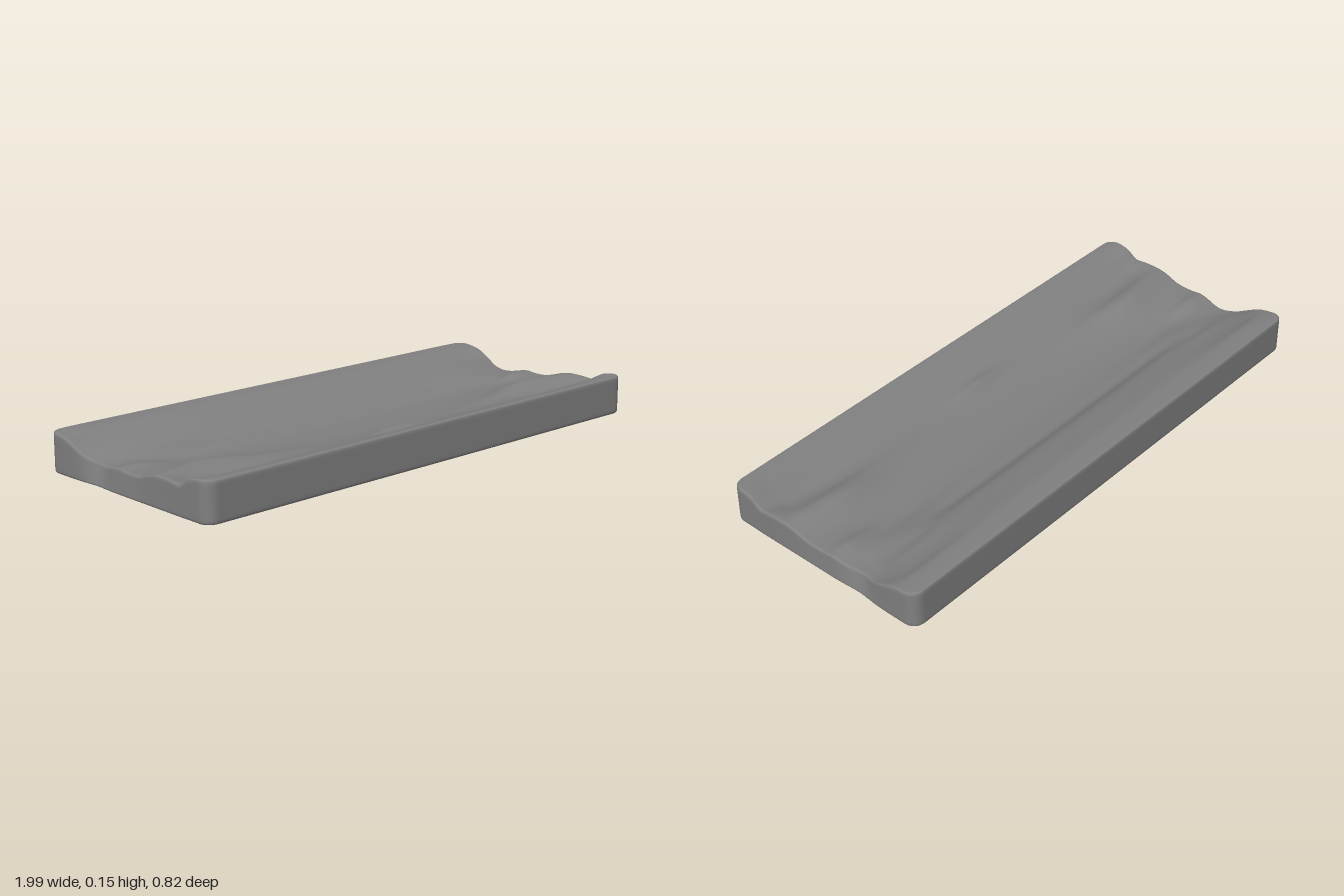
import * as THREE from 'three';
import { mergeVertices } from 'three/addons/utils/BufferGeometryUtils.js';

// Heights in thousandths across the channel (back to front), one row per distance from the middle
const zs = [-0.41, -0.34, -0.3, -0.26, -0.22, -0.19, -0.15, -0.11, -0.07, -0.04,
  0, 0.07, 0.12, 0.16, 0.2, 0.24, 0.28, 0.32, 0.36, 0.41];
const xs = [0, 0.3, 0.55, 0.75, 0.9, 1];
const heights = [
  [148, 146, 138, 127, 116, 104, 77, 71, 66, 64, 64, 67, 71, 76, 83, 93, 106, 122, 137, 148],
  [148, 146, 138, 127, 116, 104, 78, 73, 67, 65, 65, 69, 74, 80, 86, 95, 107, 122, 137, 148],
  [148, 146, 137, 125, 114, 104, 81, 76, 68, 66, 67, 76, 88, 96, 94, 96, 107, 123, 138, 148],
  [148, 146, 131, 119, 111, 99, 92, 82, 71, 71, 74, 90, 117, 114, 96, 92, 104, 124, 140, 148],
  [148, 145, 127, 113, 101, 91, 82, 82, 88, 96, 86, 90, 112, 118, 106, 98, 107, 129, 143, 148],
  [147, 141, 130, 110, 91, 84, 79, 80, 88, 92, 88, 91, 107, 115, 116, 114, 112, 138, 147, 148],
];

// Smooth interpolation through a list of values
function sample(keys, values, t) {
  const n = keys.length - 1;
  let i = 0;
  while (i < n - 1 && t > keys[i + 1]) i++;
  const slope = (j) => (j === 0 || j === n ? 0 : (values[j + 1] - values[j - 1]) / (keys[j + 1] - keys[j - 1]));
  const h = keys[i + 1] - keys[i];
  const u = THREE.MathUtils.clamp((t - keys[i]) / h, 0, 1);
  const u2 = u * u, u3 = u2 * u;
  return (2 * u3 - 3 * u2 + 1) * values[i] + (u3 - 2 * u2 + u) * h * slope(i)
    + (3 * u2 - 2 * u3) * values[i + 1] + (u3 - u2) * h * slope(i + 1);
}

function surfaceHeight(x, z) {
  const across = heights.map((row) => sample(zs, row, z));
  // Small rock ledge in the middle of the front bank
  const ledge = 0.018 * Math.exp(-((x / 0.12) ** 2) - ((z - 0.215) / 0.025) ** 2);
  return sample(xs, across, Math.abs(x)) / 1000 + ledge;
}

export function createModel() {
  const group = new THREE.Group();
  group.name = 'riverbedSlab';

  const half = new THREE.Vector3(0.995, 0.075, 0.412);
  const lip = 0.01; // rounding of the upper and lower edges
  const corner = 0.045; // rounding of the four corners seen from above
  const limit = (v, m) => THREE.MathUtils.clamp(v, -m, m);
  // Crowd the grid lines towards the edges so that the rounding is smooth
  const crowd = (u) => 0.3 * u + 0.7 * Math.sin((u * Math.PI) / 2);

  const geometry = new THREE.BoxGeometry(2, 2, 2, 140, 14, 96);
  const pos = geometry.attributes.position;
  const p = new THREE.Vector3();

  for (let i = 0; i < pos.count; i++) {
    p.set(crowd(pos.getX(i)), crowd(pos.getY(i)), crowd(pos.getZ(i))).multiply(half);
    // Rounded edges: pull the outermost strip in along a quarter circle
    const out = lip - Math.min(half.x - Math.abs(p.x), half.z - Math.abs(p.z));
    const up = lip - (half.y - Math.abs(p.y));
    if (out > 0 && up > 0) {
      const k = Math.max(out, up) / Math.hypot(out, up);
      p.x = limit(p.x, half.x - lip + out * k);
      p.z = limit(p.z, half.z - lip + out * k);
      p.y = Math.sign(p.y) * (half.y - lip + up * k);
    }

    // Rounded corners in plan
    const cx = limit(p.x, half.x - corner), cz = limit(p.z, half.z - corner);
    const dx = p.x - cx, dz = p.z - cz;
    const shrink = dx && dz ? Math.max(Math.abs(dx), Math.abs(dz)) / Math.hypot(dx, dz) : 1;
    const x = cx + dx * shrink, z = cz + dz * shrink;

    // Stretch each column between the base and the carved top
    const t = (p.y + half.y) / (2 * half.y);
    const base = 0.006 - 0.006 * Math.exp(-((x / 0.4) ** 2) - ((z / 0.25) ** 2));
    const y = base + t * (surfaceHeight(x, z) - base);

    // Ends worn inwards where the stream runs
    const worn = 0.025 * Math.exp(-(((z + 0.16) / 0.07) ** 2)) + 0.01 * Math.exp(-((z / 0.15) ** 2));
    const nearEnd = THREE.MathUtils.smoothstep(Math.abs(x), 0.85, 1);
    pos.setXYZ(i, x - Math.sign(x) * worn * nearEnd * (0.3 + 0.7 * t), y, z);
  }

  // Weld the six sides for smooth shading
  geometry.deleteAttribute('uv');
  geometry.deleteAttribute('normal');
  const welded = mergeVertices(geometry, 1e-5);
  welded.computeVertexNormals();

  const slab = new THREE.Mesh(welded, new THREE.MeshStandardMaterial({ color: 0x808080 }));
  slab.name = 'carvedSlab';
  group.add(slab);
  return group;
}
